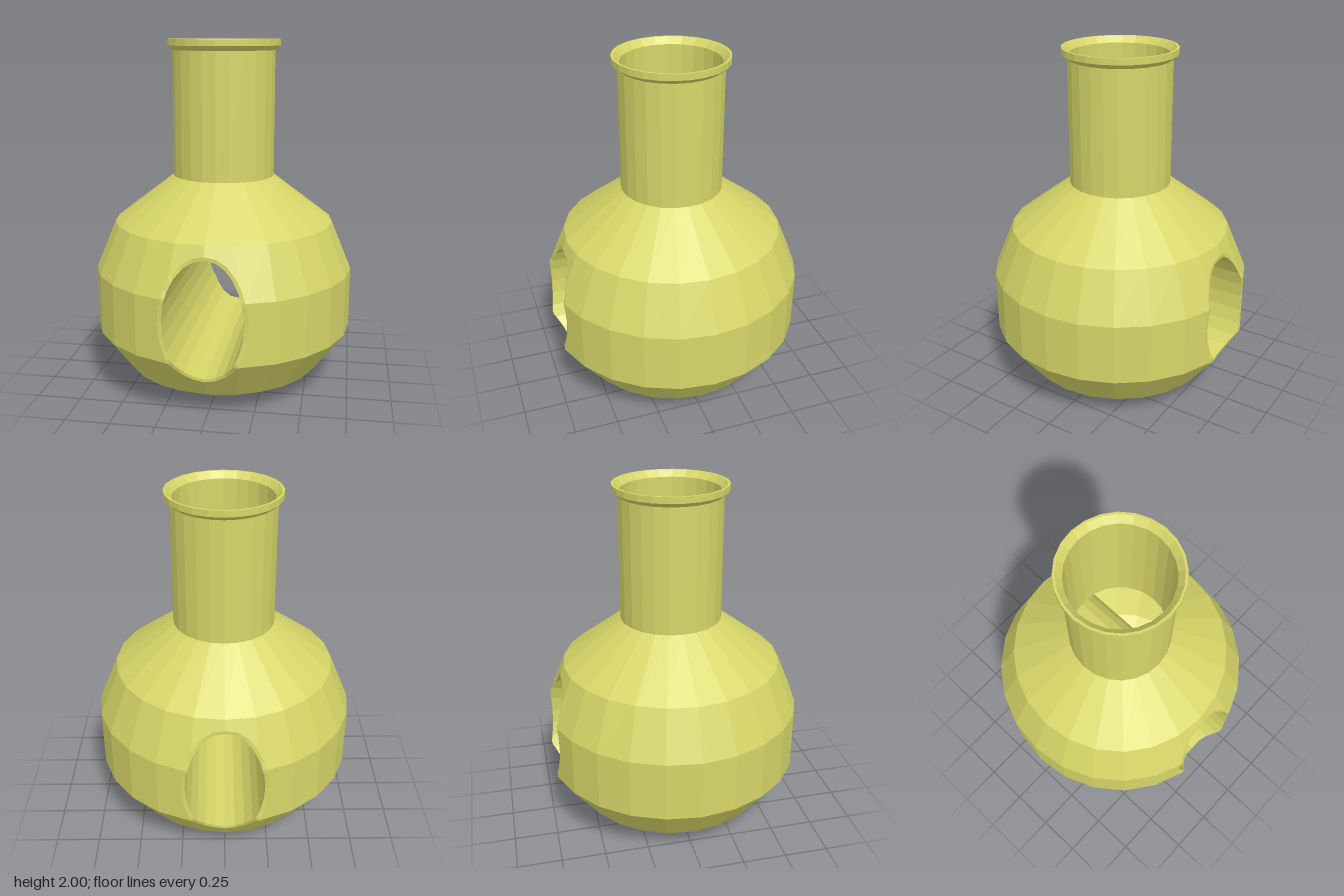
import * as THREE from 'three';

const SIDES = 24;
const HOLE = { y: 0.575, rx: 0.24, ry: 0.345 };   // outside of the tunnel wall
const BORE = { y: 0.573, rx: 0.218, ry: 0.327 };  // inside of the tunnel wall

// Profiles as [radius, height]
const BODY = [[0, 0], [0.34, 0], [0.57, 0.12], [0.745, 0.355], [0.745, 0.7], [0.63, 0.975], [0.29, 1.235]];
const NECK = [[0.29, 1.235], [0.29, 1.94]];
const LIP = [[0.29, 1.94], [0.32, 1.965], [0.32, 2], [0.307, 2], [0.275, 1.965]];
const LINING = [[0.275, 1.965], [0.275, 1.225], [0.612, 0.965], [0.725, 0.695], [0.725, 0.36], [0.555, 0.135], [0.33, 0.02], [0, 0.02]];

// Point on a 24-sided ellipse, with t counted in sides
function ellipsePoint(e, t) {
  const i = Math.floor(t), f = t - i;
  const at = k => [e.rx * Math.cos(k * 2 * Math.PI / SIDES), e.y + e.ry * Math.sin(k * 2 * Math.PI / SIDES)];
  const a = at(i), b = at(i + 1);
  return [a[0] + (b[0] - a[0]) * f, a[1] + (b[1] - a[1]) * f];
}

// Depth of the faceted body at a given x and y
function surfaceZ(x, y) {
  let r = 0;
  for (let i = 1; i < BODY.length - 1; i++) {
    const [r0, y0] = BODY[i], [r1, y1] = BODY[i + 1];
    if (y >= y0 && y <= y1) r = r0 + (r1 - r0) * (y - y0) / (y1 - y0);
  }
  const step = 2 * Math.PI / SIDES;
  const k = Math.floor(Math.asin(Math.min(1, Math.abs(x) / r)) / step);
  const x0 = r * Math.sin(k * step), x1 = r * Math.sin((k + 1) * step);
  const z0 = r * Math.cos(k * step), z1 = r * Math.cos((k + 1) * step);
  return z0 + (z1 - z0) * (Math.abs(x) - x0) / (x1 - x0);
}

// Keep the part of a polygon where side(p) >= 0
function clip(poly, side) {
  const out = [];
  poly.forEach((p, i) => {
    const q = poly[(i + 1) % poly.length], a = side(p), b = side(q);
    if (a >= 0) out.push(p);
    if ((a > 0 && b < 0) || (a < 0 && b > 0)) out.push(p.map((v, j) => v + (q[j] - v) * a / (a - b)));
  });
  return out;
}

// Subtract the tunnel outline from a flat facet, giving convex pieces
function cutHole(poly) {
  const xs = poly.map(p => p[0]), ys = poly.map(p => p[1]);
  if (Math.min(...xs) > HOLE.rx || Math.max(...xs) < -HOLE.rx ||
      Math.min(...ys) > HOLE.y + HOLE.ry || Math.max(...ys) < HOLE.y - HOLE.ry) return [poly];
  const pieces = [];
  let rest = poly;
  for (let i = 0; i < SIDES && rest.length > 2; i++) {
    const a = ellipsePoint(HOLE, i), b = ellipsePoint(HOLE, i + 1);
    const outside = p => (b[1] - a[1]) * (p[0] - a[0]) - (b[0] - a[0]) * (p[1] - a[1]);
    const piece = clip(rest, outside);
    if (piece.length > 2) pieces.push(piece);
    rest = clip(rest, p => -outside(p));
  }
  return pieces;
}

// Unshared triangles keep every facet flat
function facetedGeometry(polys) {
  const pos = [];
  for (const p of polys)
    for (let i = 1; i < p.length - 1; i++) pos.push(...p[0], ...p[i], ...p[i + 1]);
  const g = new THREE.BufferGeometry();
  g.setAttribute('position', new THREE.Float32BufferAttribute(pos, 3));
  g.computeVertexNormals();
  return g;
}

// Facets of a turned profile
function turned(profile) {
  const polys = [];
  const at = ([r, y], k) => {
    const a = k * 2 * Math.PI / SIDES;
    return [r * Math.sin(a), y, r * Math.cos(a)];
  };
  for (let i = 0; i < profile.length - 1; i++) {
    const p = profile[i], q = profile[i + 1];
    for (let k = 0; k < SIDES; k++) {
      const quad = [at(p, k), at(p, k + 1), at(q, k + 1), at(q, k)];
      if (p[0] === 0) quad.splice(0, 1);
      if (q[0] === 0) quad.splice(2, 1);
      polys.push(quad);
    }
  }
  return polys;
}

export function createModel() {
  const group = new THREE.Group();
  const glaze = new THREE.MeshStandardMaterial({ color: 0xd6d568 });
  glaze.name = 'olive yellow';
  const add = (name, polys) => {
    const mesh = new THREE.Mesh(facetedGeometry(polys), glaze);
    mesh.name = name;
    group.add(mesh);
  };

  add('body', turned(BODY).flatMap(cutHole));
  add('neck', turned(NECK));
  add('lip', turned(LIP));
  add('innerLining', turned(LINING).flatMap(cutHole));

  // Tunnel from front to back, its ends following the body surface
  const outer = [], bore = [], rims = [];
  const SUB = 4;
  for (let i = 0; i < SIDES * SUB; i++) {
    const [a, b] = [i / SUB, (i + 1) / SUB].map(t => {
      const [ox, oy] = ellipsePoint(HOLE, t), [ix, iy] = ellipsePoint(BORE, t);
      const z = surfaceZ(ox, oy);
      return { of: [ox, oy, z], ob: [ox, oy, -z], nf: [ix, iy, z], nb: [ix, iy, -z] };
    });
    outer.push([a.of, a.ob, b.ob, b.of]);
    bore.push([a.nf, b.nf, b.nb, a.nb]);
    rims.push([a.nf, a.of, b.of, b.nf], [a.nb, b.nb, b.ob, a.ob]);
  }
  add('tunnelOuterWall', outer);
  add('tunnelBore', bore);
  add('tunnelRims', rims);
  return group;
}
